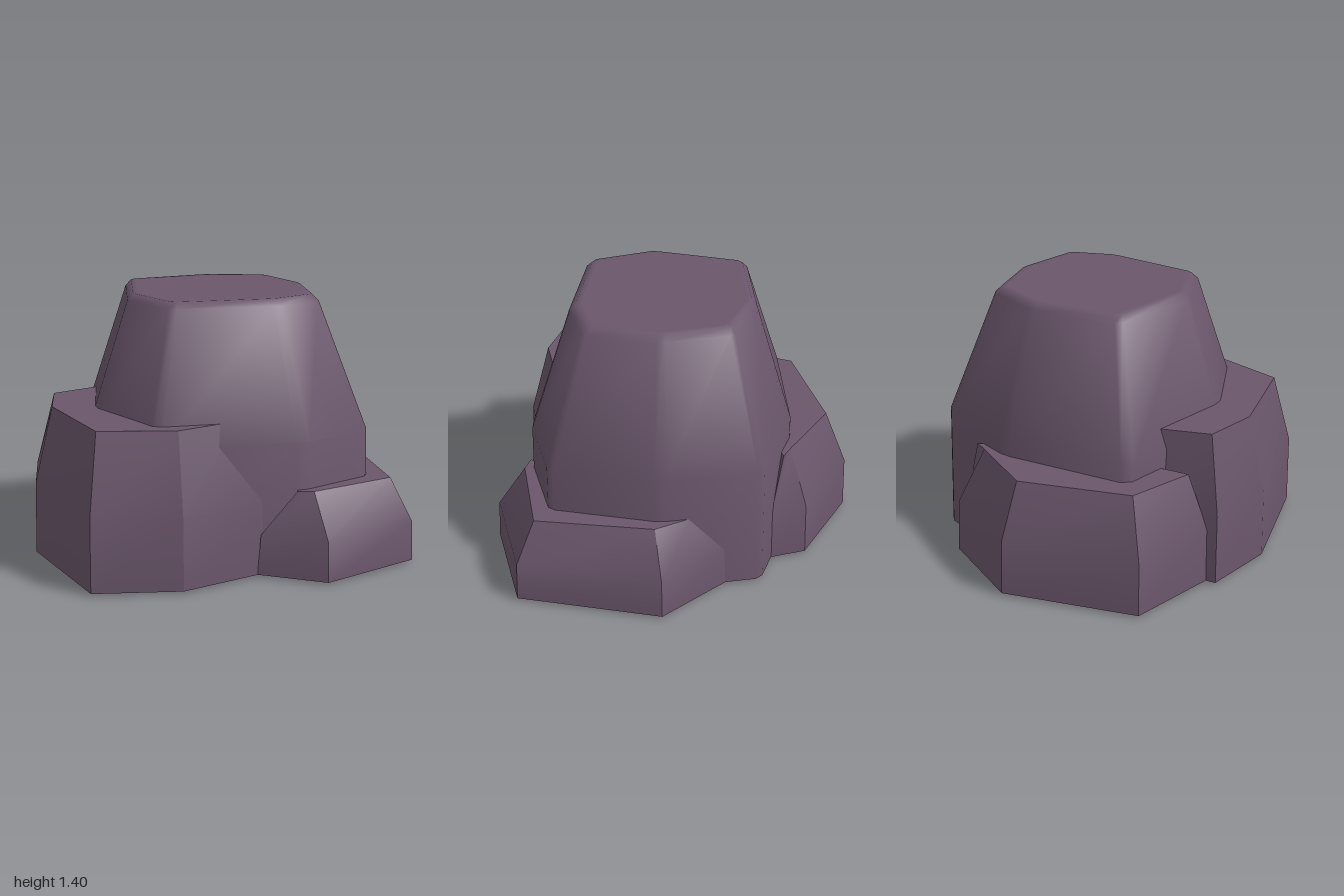
import * as THREE from 'three';
import { toCreasedNormals } from 'three/addons/utils/BufferGeometryUtils.js';

const FLOOR = 0.014;

// Skin a stack of [x, z] outlines into an open-bottomed rock with a flat top.
// Each side face is a smooth column, with sharp edges between the columns.
// An outline point may carry its own height as a third number.
function loft(rings) {
  const pos = [], index = [];
  const vertex = p => pos.push(...p) / 3 - 1;
  const loops = rings.map(({ y, outline }) => outline.map(([x, z, own]) => [x, own ?? y, z]));
  const n = loops[0].length;
  for (let i = 0; i < n; i++) {
    const j = (i + 1) % n;
    const column = loops.map(loop => [vertex(loop[i]), vertex(loop[j])]);
    for (let r = 0; r < column.length - 1; r++) {
      const [a, b] = column[r], [d, c] = column[r + 1];
      index.push(a, b, c, a, c, d);
    }
  }
  const top = loops[loops.length - 1];
  const mid = vertex([0, 1, 2].map(k => top.reduce((s, p) => s + p[k], 0) / n));
  const rim = top.map(vertex);
  rim.forEach((v, i) => index.push(v, rim[(i + 1) % n], mid));
  const geo = new THREE.BufferGeometry();
  geo.setAttribute('position', new THREE.Float32BufferAttribute(pos, 3));
  geo.setIndex(index);
  geo.computeVertexNormals();
  return geo;
}

const mix = (a, b, t) => a.map(([x, z], i) => [x + (b[i][0] - x) * t, z + (b[i][1] - z) * t]);
const scale = (a, s) => a.map(([x, z]) => [x * s, z * s]);

// Replace every corner of an outline by a short chamfer.
function chamfer(a, t = 0.05) {
  const n = a.length;
  return a.flatMap((p, i) => [a[(i + n - 1) % n], a[(i + 1) % n]].map(
    q => [p[0] + (q[0] - p[0]) * t, p[1] + (q[1] - p[1]) * t]));
}

export function createModel() {
  const group = new THREE.Group();
  group.name = 'rockCluster';
  const stone = new THREE.MeshStandardMaterial({ color: 0x6a566b, side: THREE.DoubleSide });
  stone.name = 'purple stone';
  const add = (name, geo) => {
    const mesh = new THREE.Mesh(geo, stone);
    mesh.name = name;
    group.add(mesh);
  };

  // Tall central rock with softened corners and a bevelled rim
  const crown = chamfer([[-0.32, -0.4], [-0.47, 0.09], [-0.37, 0.43], [0.16, 0.52],
    [0.41, 0.45], [0.51, 0.08], [0.45, -0.27], [0.16, -0.41]]);
  const waist = chamfer([[-0.49, -0.63], [-0.72, 0.1], [-0.55, 0.63], [0.22, 0.77],
    [0.63, 0.67], [0.765, 0.1], [0.7, -0.43], [0.23, -0.63]]);
  add('centralRock', toCreasedNormals(loft([
    { y: FLOOR, outline: scale(waist, 1.02) },
    { y: 0.7, outline: waist },
    { y: 1.365, outline: scale(crown, 1.05) },
    { y: 1.4, outline: scale(crown, 0.98) },
    { y: 1.4, outline: scale(crown, 0.92) },
  ]), 1));

  // Lower rocks: upright base, then a slope in to a flat top
  const sideRock = (name, shoulder, height, base, top) => add(name, loft([
    { y: FLOOR, outline: base },
    { y: shoulder, outline: mix(base, top, 0.08) },
    { y: height, outline: top },
  ]));

  sideRock('rightRock', 0.4, 0.81,
    [[-0.89, -0.39], [-1, 0], [-0.9, 0.68], [-0.46, 0.82], [0.04, 0.74], [-0.59, -0.03, 0], [-0.52, -0.39]],
    [[-0.8, -0.29], [-0.89, 0], [-0.82, 0.56], [-0.44, 0.7], [-0.1, 0.64], [-0.5, 0], [-0.5, -0.36]]);

  sideRock('frontLeftRock', 0.23, 0.45,
    [[-0.03, 0.75], [0.26, 0.985], [0.82, 0.855], [1, 0.1], [0.72, -0.27], [0.4, 0.3]],
    [[0.17, 0.79], [0.25, 0.82], [0.73, 0.75], [0.83, 0.13], [0.75, -0.05], [0.4, 0.35]]);

  sideRock('backRock', 0.31, 0.61,
    [[0.54, -0.5], [0.49, -0.705], [0.05, -0.985], [-0.67, -0.855], [-0.84, -0.38], [-0.15, -0.4]],
    [[0.43, -0.57], [0.36, -0.615], [0.02, -0.855], [-0.57, -0.73], [-0.72, -0.39], [-0.15, -0.4]]);

  return group;
}
